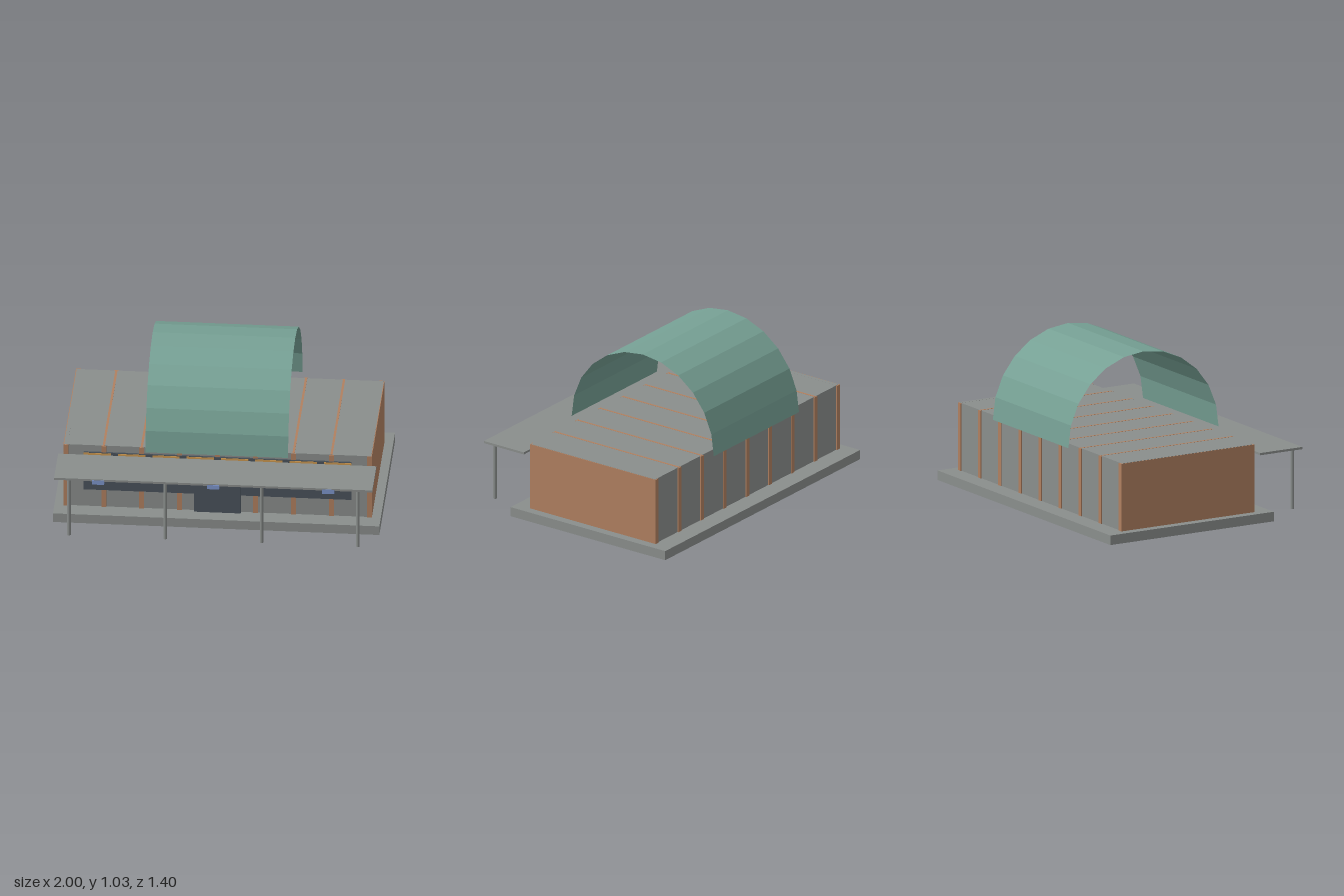
import * as THREE from 'three';

const mat = (name, color, extra = {}) => {
  const m = new THREE.MeshStandardMaterial({ color, ...extra });
  m.name = name;
  return m;
};

export function createModel() {
  const model = new THREE.Group();
  model.name = 'pavilion';

  const concrete = mat('concrete', 0x8a8e8c);
  const timber = mat('timber', 0xb08060);
  const glass = mat('darkGlass', 0x4a525b);
  const amber = mat('amberPanel', 0xcc9850);
  const lamp = mat('blueLamp', 0x7d95cc);
  const copper = mat('greenRoof', 0x76a094, { side: THREE.DoubleSide, flatShading: true });

  // Box given by its extents on each axis
  const box = (name, material, [x0, x1], [y0, y1], [z0, z1]) => {
    const mesh = new THREE.Mesh(new THREE.BoxGeometry(x1 - x0, y1 - y0, z1 - z0), material);
    mesh.position.set((x0 + x1) / 2, (y0 + y1) / 2, (z0 + z1) / 2);
    mesh.name = name;
    model.add(mesh);
    return mesh;
  };
  const around = (c, w) => [c - w / 2, c + w / 2];

  // Ground slab and hall
  box('baseSlab', concrete, [-1, 1], [0, 0.06], [-0.7, 0.475]);
  box('hall', concrete, [-0.925, 0.925], [0.06, 0.485], [-0.58, 0.362]);

  // Nine timber frames, with their thin edges showing in the flat roof
  for (let i = -4; i <= 4; i++) {
    const x = i * 0.2325;
    box('timberFrame', timber, around(x, 0.03), [0.06, 0.484], [-0.587, 0.369]);
    if (Math.abs(i) < 4) box('roofBatten', timber, around(x, 0.014), [0.48, 0.486], [-0.58, 0.362]);
    else box('roofEdge', concrete, around(x, 0.022), [0.48, 0.4855], [-0.58, 0.362]);
  }

  // Window band with amber panes between the mullions, and the door
  box('windowBand', glass, [-0.82, 0.82], [0.18, 0.441], [0.36, 0.373]);
  const edges = [-0.82];
  for (let i = -3; i <= 3; i++) edges.push(...around(i * 0.21, 0.043));
  edges.push(0.82);
  for (let i = 0; i < edges.length; i += 2) {
    box('amberPane', amber, [edges[i], edges[i + 1]], [0.355, 0.437], [0.37, 0.376]);
  }
  box('door', glass, [-0.143, 0.143], [0.06, 0.368], [0.36, 0.383]);

  // Half-barrel roof: an open sheet of twelve facets
  const arch = new THREE.CylinderGeometry(0.54, 0.54, 0.874, 12, 1, true, 0, Math.PI);
  arch.rotateZ(Math.PI / 2);
  const barrel = new THREE.Mesh(arch, copper);
  barrel.position.set(0, 0.487, -0.112);
  barrel.name = 'barrelRoof';
  model.add(barrel);

  // Canopy on slim posts, with lamps under its front edge
  box('canopy', concrete, [-0.975, 0.975], [0.42, 0.434], [0.393, 0.697]);
  for (const x of [-0.885, -0.295, 0.295, 0.885]) {
    const post = new THREE.Mesh(new THREE.CylinderGeometry(0.011, 0.011, 0.392, 12), concrete);
    post.position.set(x, 0.226, 0.679);
    post.name = 'canopyPost';
    model.add(post);
  }
  for (const x of [-0.705, 0, 0.705]) {
    box('canopyLamp', lamp, around(x, 0.074), [0.399, 0.428], [0.672, 0.7]);
  }

  return model;
}
